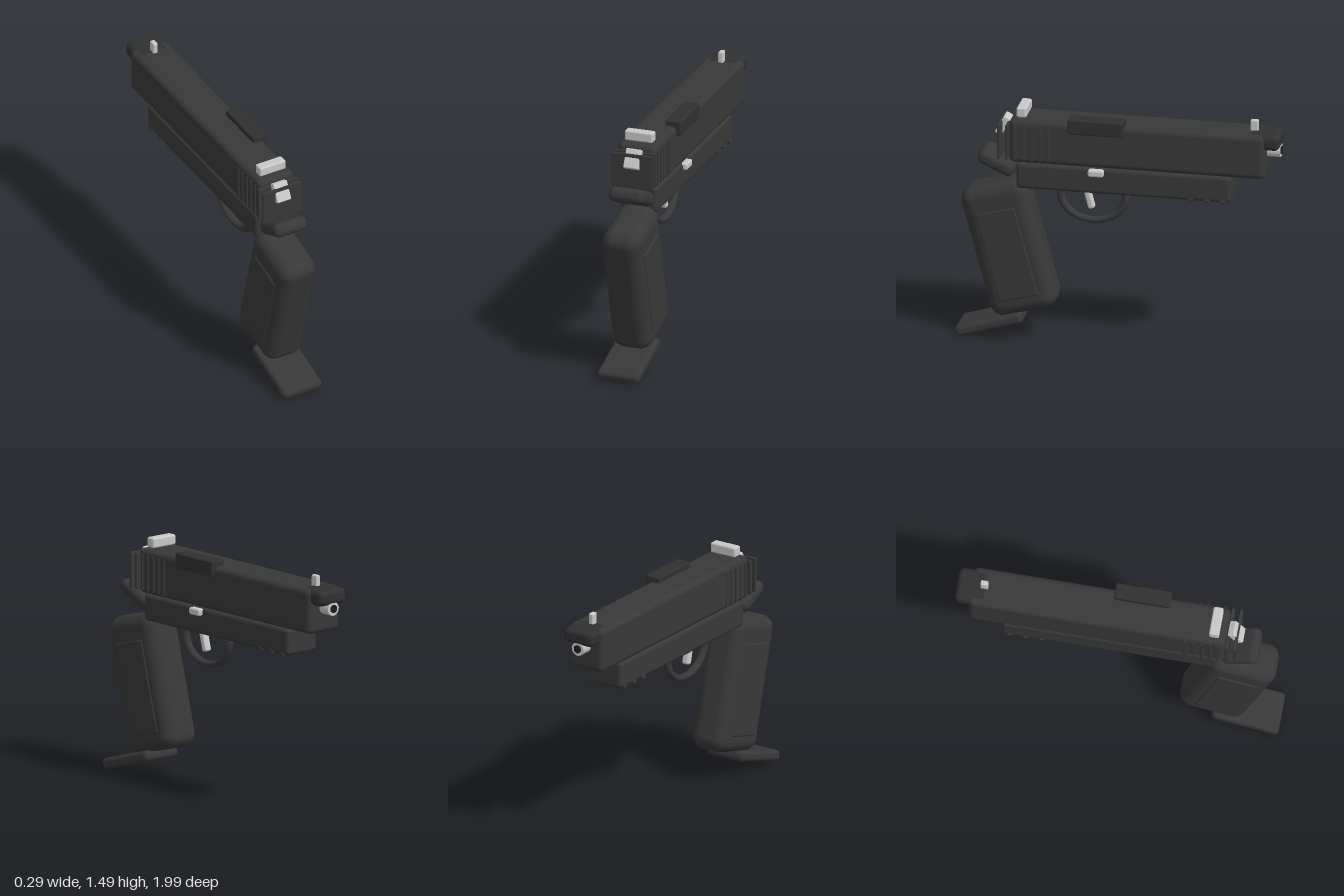
import * as THREE from 'three';
import { RoundedBoxGeometry } from 'three/addons/geometries/RoundedBoxGeometry.js';

const CX = -0.009; // shared centre line of the body

export function createModel() {
  const model = new THREE.Group();
  model.name = 'toyPistol';

  const mat = (name, color) => {
    const m = new THREE.MeshStandardMaterial({ color });
    m.name = name;
    return m;
  };
  const body = mat('darkGrey', 0x383838);
  const trim = mat('charcoal', 0x303030);
  const silver = mat('silver', 0xc8c8c8);
  const black = mat('black', 0x1c1c1c);

  const add = (name, geometry, material, x, y, z, tilt = 0) => {
    const mesh = new THREE.Mesh(geometry, material);
    mesh.name = name;
    mesh.position.set(x, y, z);
    mesh.rotation.x = tilt;
    model.add(mesh);
    return mesh;
  };
  // Rounded block: size [w, h, d], edge radius r
  const block = (name, material, [w, h, d], r, x, y, z, tilt) =>
    add(name, new RoundedBoxGeometry(w, h, d, 4, r), material, x, y, z, tilt);

  // Upper slide, muzzle cap and side port
  block('slide', body, [0.25, 0.278, 1.578], 0.035, CX, 1.291, -0.123);
  block('muzzleCap', trim, [0.216, 0.098, 0.2], 0.035, CX, 1.383, -0.898);
  block('ejectionPort', trim, [0.1, 0.094, 0.342], 0.01, 0.092, 1.418, 0.126);

  // Rear grip ribs, full width
  for (let i = 0; i < 7; i++) {
    block('slideRib', body, [0.268, 0.22, 0.018], 0.004, CX, 1.283, 0.727 - i * 0.0505);
  }

  // Sights
  block('rearSight', silver, [0.182, 0.064, 0.062], 0.012, CX, 1.466, 0.594);
  block('frontSight', silver, [0.032, 0.075, 0.048], 0.008, CX, 1.46, -0.829);

  // Barrel and bore
  const barrel = new THREE.CylinderGeometry(0.043, 0.043, 0.16, 32);
  add('barrel', barrel, silver, CX, 1.313, -0.912, Math.PI / 2);
  const bore = new THREE.CylinderGeometry(0.025, 0.025, 0.02, 24);
  add('bore', bore, black, CX, 1.313, -0.987, Math.PI / 2);

  // Frame with underside rail ribs
  block('frame', body, [0.24, 0.167, 1.326], 0.025, CX, 1.069, -0.04);
  for (let i = 0; i < 3; i++) {
    block('railRib', body, [0.25, 0.024, 0.032], 0.008, CX, 0.992, -0.457 - i * 0.099);
  }
  block('slideCatch', silver, [0.05, 0.043, 0.096], 0.012, 0.115, 1.126, 0.126);

  // Hammer and rear tang
  block('hammer', silver, [0.097, 0.123, 0.047], 0.008, CX, 1.357, 0.718, -0.5);
  block('tang', body, [0.228, 0.09, 0.24], 0.04, CX, 1.127, 0.75, -0.43);

  // Trigger and curved guard
  block('trigger', silver, [0.05, 0.145, 0.042], 0.015, CX, 0.921, 0.193, 0.27);
  const arc = Math.PI + 0.25;
  const guard = new THREE.TorusGeometry(0.2, 0.025, 16, 48, arc);
  guard.rotateZ(Math.PI - 0.125);
  guard.scale(1, 0.8, 1);
  guard.rotateY(Math.PI / 2);
  add('triggerGuard', guard, body, CX, 0.937, 0.168);
  // Flat caps close both guard ends
  for (const side of [-1, 1]) {
    const a = 0.125;
    const end = new THREE.CircleGeometry(0.025, 16);
    end.rotateX(-Math.PI / 2);
    end.rotateX(-side * a);
    add('guardEnd', end, body, CX, 0.937 + 0.16 * Math.sin(a), 0.168 + side * 0.2 * Math.cos(a));
  }

  // Slanted grip, raised side panels and base plate
  block('grip', body, [0.254, 0.84, 0.42], 0.08, CX, 0.582, 0.676, 0.262);
  block('gripPanels', body, [0.268, 0.575, 0.25], 0.01, CX, 0.556, 0.676, 0.262);
  block('basePlate', body, [0.268, 0.068, 0.425], 0.027, CX, 0.09, 0.79, 0.285);

  return model;
}
